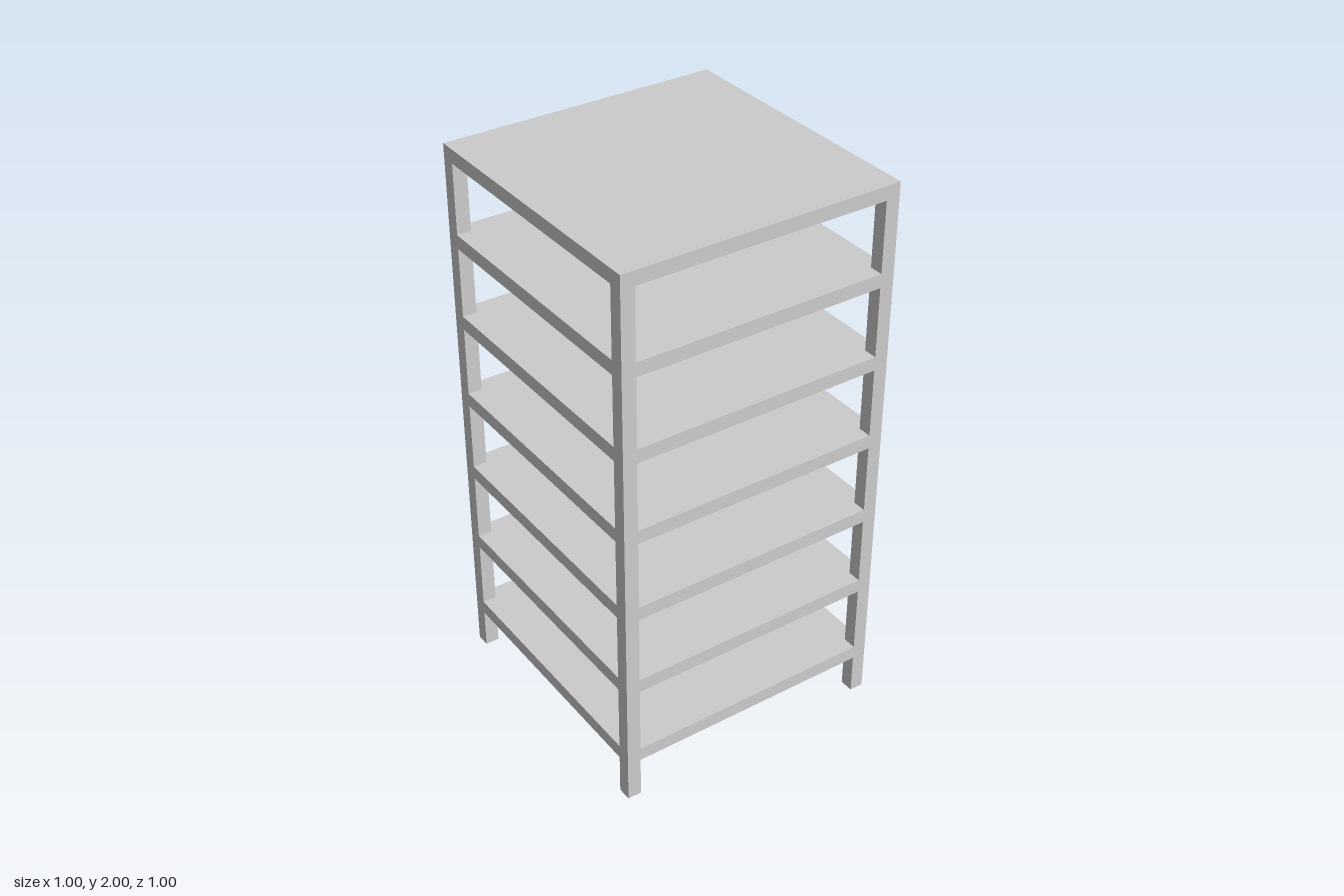
import * as THREE from 'three';

const WIDTH = 1, HEIGHT = 2, POST = 0.05, THICK = 0.05;
const SHELVES = 7, SPACING = 0.3, FIRST_TOP = 0.2;

// Square board with its corners notched to fit around the posts
function notchedBoard() {
  const o = WIDTH / 2, i = o - POST;
  const outline = [
    [-i, -o], [i, -o], [i, -i], [o, -i], [o, i], [i, i],
    [i, o], [-i, o], [-i, i], [-o, i], [-o, -i], [-i, -i],
  ].map(([x, y]) => new THREE.Vector2(x, y));
  const geometry = new THREE.ExtrudeGeometry(new THREE.Shape(outline), { depth: THICK, bevelEnabled: false });
  return geometry.rotateX(-Math.PI / 2);
}

export function createModel() {
  const rack = new THREE.Group();
  rack.name = 'shelvingRack';
  const material = new THREE.MeshStandardMaterial({ color: 0xcccccc });
  const add = (name, geometry, x, y, z) => {
    const mesh = new THREE.Mesh(geometry, material);
    mesh.name = name;
    mesh.position.set(x, y, z);
    rack.add(mesh);
  };

  // Four corner posts, ending under the top board
  const postHeight = HEIGHT - THICK;
  const postGeometry = new THREE.BoxGeometry(POST, postHeight, POST);
  const offset = (WIDTH - POST) / 2;
  for (const [side, x] of [['Left', offset], ['Right', -offset]]) {
    for (const [end, z] of [['front', offset], ['back', -offset]]) {
      add(`${end}${side}Post`, postGeometry, x, postHeight / 2, z);
    }
  }

  // Evenly spaced shelves between the posts
  const shelfGeometry = notchedBoard();
  for (let n = 0; n < SHELVES - 1; n++) {
    add(`shelf${n + 1}`, shelfGeometry, 0, FIRST_TOP + n * SPACING - THICK, 0);
  }

  // Full square board closing the top
  add('topBoard', new THREE.BoxGeometry(WIDTH, THICK, WIDTH), 0, HEIGHT - THICK / 2, 0);
  return rack;
}
